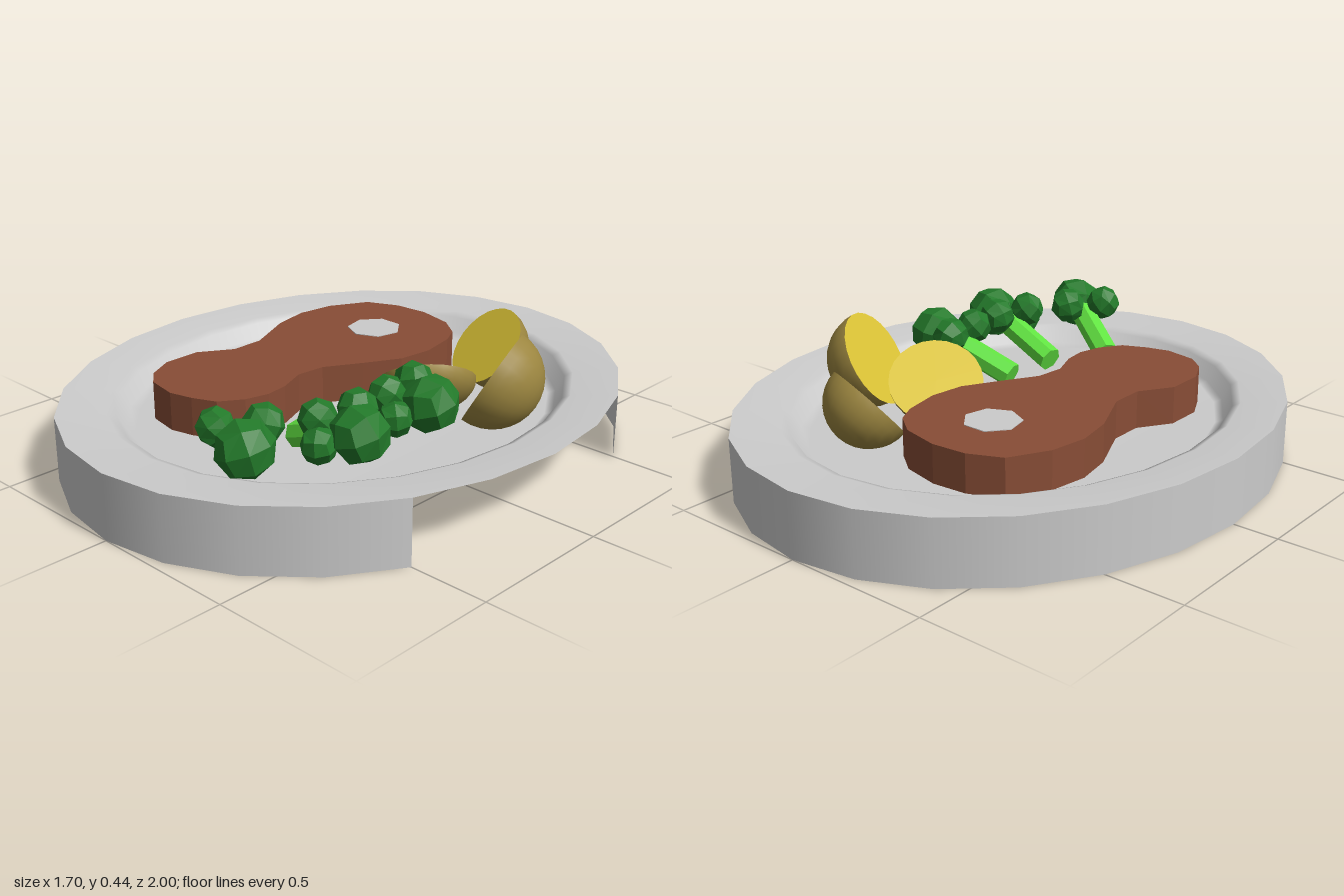
import * as THREE from 'three';

const mat = (color, opts = {}) => new THREE.MeshStandardMaterial({ color, ...opts });
const grey = mat(0xcccccc, { side: THREE.DoubleSide });
const meatMat = mat(0x884d36, { flatShading: true });
const fleshMat = mat(0xdcc436, { side: THREE.DoubleSide });
const skinMat = mat(0x9c8640, { side: THREE.DoubleSide });
const floretMat = mat(0x237a2a, { flatShading: true });
const stalkMat = mat(0x62e442, { flatShading: true });

function add(parent, name, geometry, material, x = 0, y = 0, z = 0) {
  const mesh = new THREE.Mesh(geometry, material);
  mesh.name = name;
  mesh.position.set(x, y, z);
  parent.add(mesh);
  return mesh;
}

// Oval dish: shallow well and flat rim, with an outer skirt open on one side
function makePlate() {
  const plate = new THREE.Group();
  plate.name = 'plate';
  const profile = [[0, 0.135], [0.74, 0.135], [0.77, 0.145], [0.8, 0.195], [0.83, 0.207], [1, 0.217]]
    .map(([r, y]) => new THREE.Vector2(r, y));
  add(plate, 'plateTop', new THREE.LatheGeometry(profile, 24), grey);
  const skirt = new THREE.CylinderGeometry(1, 1, 0.217, 20, 1, true, Math.PI * 2 / 3, Math.PI * 5 / 3);
  add(plate, 'plateSkirt', skirt, grey, 0, 0.1085, 0);
  plate.scale.x = 0.85;
  return plate;
}

// Steak: extruded outline with a bone set in its wide end
function makeSteak() {
  const steak = new THREE.Group();
  steak.name = 'steak';
  const outline = [
    [-0.16, -0.58], [-0.28, -0.57], [-0.39, -0.52], [-0.46, -0.39], [-0.48, -0.26], [-0.455, -0.13],
    [-0.375, 0.045], [-0.375, 0.16], [-0.445, 0.27], [-0.445, 0.4], [-0.4, 0.49], [-0.34, 0.54],
    [-0.23, 0.56], [-0.15, 0.54], [-0.07, 0.505], [-0.02, 0.43], [0, 0.35], [-0.01, 0.27],
    [-0.05, 0.17], [-0.04, 0.07], [0.03, -0.05], [0.095, -0.17], [0.11, -0.29], [0.085, -0.42],
    [0.05, -0.49], [-0.03, -0.55],
  ].map(([x, z]) => new THREE.Vector2(x, -z));
  const slab = new THREE.ExtrudeGeometry(new THREE.Shape(outline), { depth: 0.128, bevelEnabled: false });
  slab.rotateX(-Math.PI / 2);
  add(steak, 'meat', slab, meatMat, 0, 0.137, 0);
  add(steak, 'bone', new THREE.CylinderGeometry(0.095, 0.095, 0.129, 7), grey, -0.177, 0.203, -0.328);
  return steak;
}

// Halved potato: flat cut face along the normal, skin dome behind it, open wedge underneath
function makePotato([x, y, z], normal, radius, depth) {
  const potato = new THREE.Group();
  potato.name = 'potatoHalf';
  const n = new THREE.Vector3(...normal).normalize();
  const down = new THREE.Vector3(0, -1, 0).addScaledVector(n, n.y).normalize();
  const side = new THREE.Vector3().crossVectors(down, n);
  potato.quaternion.setFromRotationMatrix(new THREE.Matrix4().makeBasis(down, n, side));
  potato.position.set(x, y, z);
  const dome = new THREE.SphereGeometry(radius, 20, 8, Math.PI * 7 / 6, Math.PI * 5 / 3, Math.PI / 2, Math.PI / 2);
  add(potato, 'potatoSkin', dome, skinMat).scale.y = depth;
  add(potato, 'potatoFlesh', new THREE.CircleGeometry(radius, 24).rotateX(-Math.PI / 2), fleshMat);
  return potato;
}

// Faceted ball: a subdivided cube pushed out onto a sphere
function makeBall(radius) {
  const ball = new THREE.BoxGeometry(1, 1, 1, 2, 2, 2);
  const p = ball.attributes.position;
  const v = new THREE.Vector3();
  for (let i = 0; i < p.count; i++) {
    v.fromBufferAttribute(p, i).setLength(radius);
    p.setXYZ(i, v.x, v.y, v.z);
  }
  return ball;
}

// Broccoli: rising stalk along x with a cluster of florets at its end
function makeBroccoli(x, z, angle, florets) {
  const broccoli = new THREE.Group();
  broccoli.name = 'broccoli';
  broccoli.position.set(x, 0, z);
  broccoli.rotation.y = -angle;
  const stalk = add(broccoli, 'stalk', new THREE.CylinderGeometry(0.045, 0.045, 0.27, 7), stalkMat, 0.13, 0.238, 0);
  stalk.rotation.z = -Math.PI / 2 + 0.36;
  florets.forEach(([u, y, v, r], i) => {
    add(broccoli, 'floret', makeBall(r), floretMat, u, y, v).rotation.set(0.25 + i, 0.3 * i, 0.2);
  });
  return broccoli;
}

export function createModel() {
  const model = new THREE.Group();
  model.name = 'dinnerPlate';
  model.add(makePlate(), makeSteak());

  model.add(
    makePotato([0.24, 0.24, -0.135], [-0.45, 0.77, -0.45], 0.16, 0.65),
    makePotato([0.455, 0.29, -0.2], [-0.8, 0.5, 0.33], 0.168, 1),
    makePotato([0.22, 0.265, -0.465], [-0.25, 0.65, 0.7], 0.148, 1),
  );

  const florets = [
    [0.312, 0.3, 0, 0.093],
    [0.205, 0.325, -0.076, 0.064],
    [0.195, 0.325, 0.062, 0.062],
    [0.25, 0.27, 0.1, 0.058],
  ];
  model.add(
    makeBroccoli(0.16, 0.17, -0.17, florets),
    makeBroccoli(0.16, 0.385, 0.14, florets),
    makeBroccoli(0.04, 0.565, 0.54, florets.slice(0, 3)),
  );
  return model;
}
